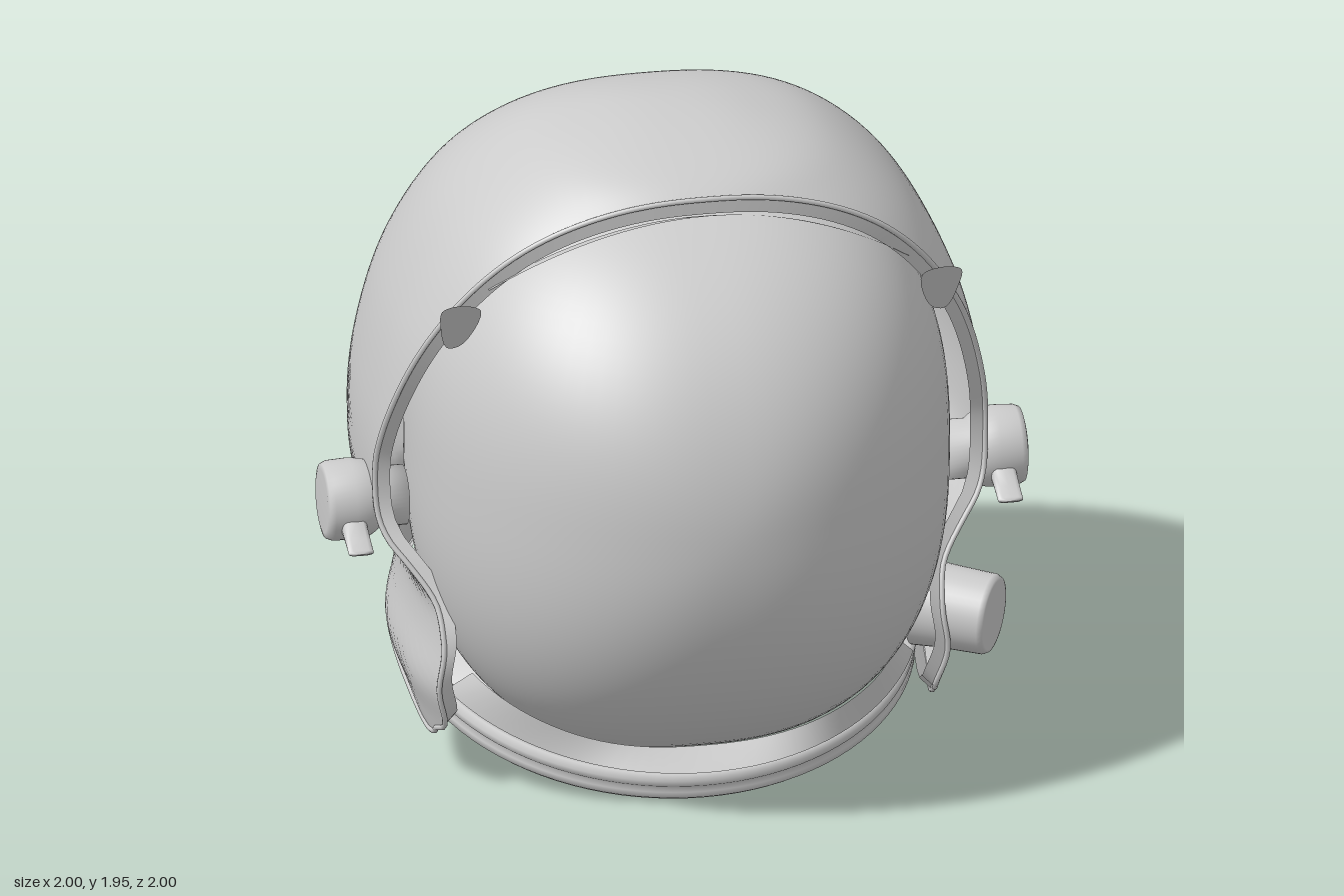
import * as THREE from 'three';

const V = (x, y, z) => new THREE.Vector3(x, y, z);

// Smooth lookup value(y) through [value, y] points listed from low to high.
function profile(points, top = Infinity) {
  const pts = new THREE.CatmullRomCurve3(points.map(([v, y]) => V(v, y, 0)), false, 'centripetal').getPoints(600);
  let end = pts.findIndex((p) => p.y >= top - 1e-4);
  if (end < 0) end = pts.length - 1;
  return (y) => {
    let lo = 0, hi = end;
    while (hi - lo > 1) {
      const mid = (lo + hi) >> 1;
      if (pts[mid].y < y) lo = mid; else hi = mid;
    }
    const t = THREE.MathUtils.clamp((y - pts[lo].y) / (pts[hi].y - pts[lo].y || 1), 0, 1);
    return pts[lo].x + (pts[hi].x - pts[lo].x) * t;
  };
}

// Surface through rows of points.
function loft(rows, closed = false) {
  const n = rows[0].length, index = [];
  for (let r = 0; r < rows.length - 1; r++) {
    for (let i = 0; i < (closed ? n : n - 1); i++) {
      const a = r * n + i, b = r * n + (i + 1) % n;
      index.push(a, a + n, b, b, a + n, b + n);
    }
  }
  const g = new THREE.BufferGeometry().setFromPoints(rows.flat());
  g.setIndex(index);
  g.computeVertexNormals();
  return g;
}

// Point where a ray from c leaves a solid.
function cast(inside, c, dir) {
  let lo = 0, hi = 2;
  for (let i = 0; i < 22; i++) {
    const m = (lo + hi) / 2;
    if (inside(c.x + dir.x * m, c.y + dir.y * m, c.z + dir.z * m)) lo = m; else hi = m;
  }
  return c.clone().addScaledVector(dir, lo);
}

// Dome spreading from a pole until the cut test is true; returns its rows.
function dome(inside, cut, c, direction, segments, rowCount) {
  const columns = [];
  for (let i = 0; i < segments; i++) {
    const phi = (i / segments) * Math.PI * 2;
    const at = (theta) => cast(inside, c, direction(theta, phi));
    let hi = 0.1;
    while (hi < 3.1 && !cut(at(hi))) hi += 0.02;
    let lo = hi - 0.02;
    for (let k = 0; k < 14; k++) {
      const m = (lo + hi) / 2;
      if (cut(at(m))) hi = m; else lo = m;
    }
    columns.push(Array.from({ length: rowCount + 1 }, (_, r) => at((lo * r) / rowCount)));
  }
  return Array.from({ length: rowCount + 1 }, (_, r) => columns.map((col) => col[r]));
}

export function createModel() {
  const model = new THREE.Group();
  const grey = new THREE.MeshStandardMaterial({ color: 0xcccccc, side: THREE.DoubleSide });
  grey.name = 'light grey';
  const add = (name, geometry, parent = model) => {
    const mesh = new THREE.Mesh(geometry, grey);
    mesh.name = name;
    parent.add(mesh);
    return mesh;
  };
  const { sin, cos, abs, sign } = Math;

  // Outer shell: side and front silhouettes joined by rounded slices
  const back = profile([[-0.76, 0], [-0.77, 0.3], [-0.785, 0.475], [-0.805, 0.55], [-0.795, 0.61], [-0.755, 0.65], [-0.82, 0.705],
    [-0.97, 0.8], [-1, 0.93], [-0.985, 1.05], [-0.93, 1.2], [-0.8, 1.43], [-0.6, 1.65], [-0.34, 1.825], [-0.1, 1.92], [0.12, 1.95], [0.38, 1.92]], 1.95);
  const width = profile([[0.68, 0], [0.74, 0.2], [0.78, 0.33], [0.755, 0.46], [0.75, 0.57], [0.79, 0.65], [0.86, 0.76],
    [0.876, 0.92], [0.86, 1.12], [0.79, 1.4], [0.64, 1.68], [0.43, 1.86], [0.22, 1.93], [0, 1.95], [-0.22, 1.93]], 1.95);
  const front = profile([[0.6, 0], [0.7, 0.2], [0.8, 0.5], [0.8, 1], [0.82, 1.4], [0.72, 1.68], [0.61, 1.81], [0.53, 1.87],
    [0.35, 1.927], [0.12, 1.95], [-0.1, 1.93]], 1.95);
  const opening = profile([[0.24, 0], [0.28, 0.15], [0.37, 0.2], [0.42, 0.33], [0.42, 0.45], [0.32, 0.66], [0.245, 0.8],
    [0.235, 0.95], [0.265, 1.05], [0.41, 1.4], [0.58, 1.83], [0.63, 1.96]]);
  const neckY = (z) => 0.205 - 0.33 * z;
  const inShell = (x, y, z) => {
    if (y > 1.95) return false;
    const dz = z - 0.12, reach = dz < 0 ? 0.12 - back(y) : front(y) - 0.12;
    return (abs(x) / (width(y) + 1e-6)) ** 2.45 + (abs(dz) / (reach + 1e-6)) ** 2.45 < 1;
  };
  const shellRows = dome(inShell, (p) => p.z > opening(p.y) || p.y < neckY(p.z), V(0, 0.95, -0.1),
    (t, f) => V(sin(t) * sin(f), 0.5 * cos(t) + 0.866 * sin(t) * cos(f), 0.5 * sin(t) * cos(f) - 0.866 * cos(t)), 192, 100);
  add('outerShell', loft(shellRows, true));

  // Turned-in rim and bead along the shell edge
  const edge = shellRows[shellRows.length - 1];
  add('shellRim', loft([edge, edge.map((p) => p.clone().lerp(V(0, 0.95, p.z), 0.05))], true));
  add('rimBead', new THREE.TubeGeometry(new THREE.CatmullRomCurve3(edge, true), 288, 0.008, 8, true));

  // Clear bubble, open at the neck
  const bubbleZ = (x, y, depth) => {
    const h = (y - 0.95) / (y > 0.95 ? 0.815 : 0.88);
    const q = (abs(x / 0.76) ** 2.5 + abs(h) ** 2.5) ** 0.8;
    return q < 1 ? depth * Math.sqrt(1 - q) : -1;
  };
  const inBubble = (x, y, z) => abs(z - 0.2) < bubbleZ(x, y, z > 0.2 ? 0.8 : 0.95);
  const bubbleRows = dome(inBubble, (p) => p.y < neckY(p.z) + 0.1, V(0, 0.93, 0.1),
    (t, f) => V(sin(t) * sin(f), cos(t), sin(t) * cos(f)), 96, 56);
  add('bubble', loft(bubbleRows, true));

  // Neck ellipse, tilted down at the front
  const tilt = 0.318;
  const neckCentre = V(0, 0.262, -0.08);
  const neck = (a, rx, rz, lift) => V(rx * sin(a), lift, rz * cos(a)).applyAxisAngle(V(1, 0, 0), tilt).add(neckCentre);

  // Liner joining the back of the bubble to the neck ring
  const linerEdge = bubbleRows[bubbleRows.length - 1].slice(18, 79);
  add('neckLiner', loft([linerEdge, linerEdge.map((p, i) => neck(((i + 18) / 96) * Math.PI * 2, 0.7, 0.67, 0.02))]));

  // Fairing below the front of the bubble
  const fairing = [[], []];
  for (let i = 0; i <= 40; i++) {
    const a = (i / 20 - 1) * 1.15, x = (0.6 * sin(a)) / sin(1.15), y = 0.16 + 0.45 * x * x;
    fairing[0].push(V(x * 1.01, y, 0.207 + bubbleZ(x, y, 0.8)));
    fairing[1].push(neck(a, 0.73, 0.735, 0.085));
  }
  add('frontFairing', loft(fairing));

  // Double-beaded neck ring
  const ringProfile = [[0.94, -0.04], [0.99, -0.045], [1.01, -0.03], [1.01, -0.01], [0.995, 0], [1.01, 0.012],
    [1.01, 0.03], [0.99, 0.045], [0.94, 0.04], [0.94, -0.04]].map(([r, y]) => new THREE.Vector2(r, y));
  const ring = add('neckRing', new THREE.LatheGeometry(ringProfile, 96).scale(0.72, 1, 0.7));
  ring.rotation.x = tilt;
  ring.position.copy(neckCentre);

  // Retracted sun visor peeking out under the brow
  const visor = [[], []];
  for (let i = 0; i <= 30; i++) {
    const s = i / 15 - 1, d = s * s;
    visor[0].push(V(0.6 * s, 1.805 - 0.23 * d, 0.63 - 0.13 * d));
    visor[1].push(V(0.6 * s, 1.75 - 0.18 * d, 0.5 - 0.03 * d));
  }
  add('sunVisor', loft(visor));

  // Thin leaf plate: outline in two axes, third from a rule
  const leaf = (points, place) => {
    const outline = new THREE.CatmullRomCurve3(points.map(([a, b]) => V(a, b, 0)), true).getPoints(32);
    const g = new THREE.ShapeGeometry(new THREE.Shape(outline.map((p) => new THREE.Vector2(p.x, p.y))));
    const pos = g.attributes.position;
    for (let i = 0; i < pos.count; i++) pos.setXYZ(i, ...place(pos.getX(i), pos.getY(i)));
    g.computeVertexNormals();
    return g;
  };
  const tab = [[0.63, 1.53], [0.69, 1.555], [0.74, 1.54], [0.74, 1.48], [0.71, 1.39], [0.67, 1.4]];
  const flap = [[-0.7, -0.24], [-0.57, -0.25], [-0.48, -0.33], [-0.48, -0.43], [-0.57, -0.5], [-0.68, -0.42]];
  add('neckFlap', leaf(flap, (x, z) => [x, neckY(z) - 0.04 + (x + 0.7) * 0.3, z]));

  // Ear pivots, levers and visor tabs, mirrored
  const knobProfile = [[0, 0.765], [0.085, 0.765], [0.085, 0.84], [0.1, 0.86], [0.111, 0.88], [0.116, 0.92],
    [0.113, 0.98], [0.106, 0.996], [0.09, 1], [0, 1]].map(([r, y]) => new THREE.Vector2(r, y));
  for (const side of [1, -1]) {
    const name = side > 0 ? 'left' : 'right';
    const knob = add(name + 'EarPivot', new THREE.LatheGeometry(knobProfile, 40));
    knob.rotation.z = -side * Math.PI / 2;
    knob.position.set(0, 0.805, 0.12);
    const lever = [[0.19, 0.77, 0.05], [0.24, 0.75, 0.028], [0.28, 0.735, 0.016], [0.315, 0.722, 0.008]].map(([z, y, h]) =>
      Array.from({ length: 16 }, (_, i) => {
        const a = (i / 16) * Math.PI * 2;
        return V(side * (0.927 + 0.036 * sign(cos(a)) * Math.sqrt(abs(cos(a)))), y + h * sin(a), z);
      }));
    const tip = lever[3].map(() => V(side * 0.927, 0.72, 0.32));
    add(name + 'Lever', loft([...lever, tip], true));
    add(name + 'VisorTab', leaf(tab, (x, y) => [side * x, y, 0.55 - (1.56 - y) * 0.55]));
  }

  // Angled hose valve on the left cheek
  const valveProfile = [[0.125, 0.08], [0.119, 0.15], [0.115, 0.285], [0.108, 0.298], [0.1, 0.3], [0, 0.3]]
    .map(([r, y]) => new THREE.Vector2(r, y));
  const valve = add('hoseValve', new THREE.LatheGeometry(valveProfile, 40));
  valve.quaternion.setFromUnitVectors(V(0, 1, 0), V(0.86, -0.06, 0.5).normalize());
  valve.position.set(0.61, 0.418, 0.22);

  return model;
}
